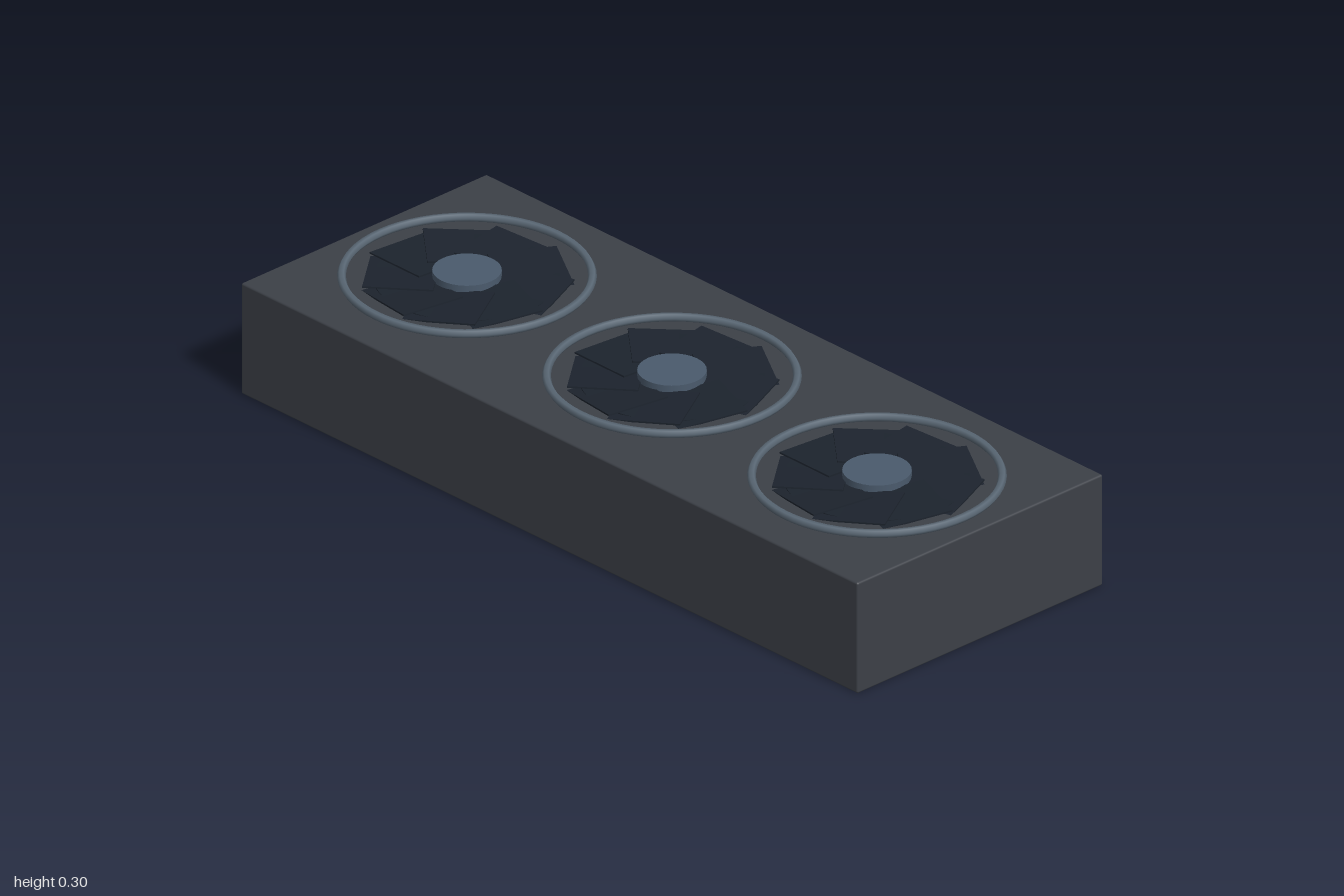
import * as THREE from 'three';
import { RoundedBoxGeometry } from 'three/addons/geometries/RoundedBoxGeometry.js';

const TOP = 0.28;
const BLADES = 9;

const paint = (color) => new THREE.MeshStandardMaterial({ color });

function addMesh(parent, name, geometry, material, x = 0, y = 0, z = 0) {
  const mesh = new THREE.Mesh(geometry, material);
  mesh.name = name;
  mesh.position.set(x, y, z);
  parent.add(mesh);
  return mesh;
}

export function createModel() {
  const model = new THREE.Group();
  model.name = 'tripleFanUnit';

  const bodyPaint = paint(0x3c4047);
  const ringPaint = paint(0x5a6875);
  const bladePaint = paint(0x1c232d);
  const hubPaint = paint(0x4a5a6c);

  // Housing with a fine edge bevel
  addMesh(model, 'housing', new RoundedBoxGeometry(2, TOP, 0.76, 2, 0.005), bodyPaint, 0, TOP / 2, 0);

  // Shared fan geometries
  const ringGeo = new THREE.TorusGeometry(0.281, 0.01, 6, 64).rotateX(Math.PI / 2);
  const discGeo = new THREE.CylinderGeometry(0.21, 0.21, 0.006, 48);
  const hubGeo = new THREE.CylinderGeometry(0.078, 0.078, 0.023, 32);
  // Each blade tilts about its length, so one edge dips into the housing
  const bladeGeo = new THREE.BoxGeometry(0.17, 0.004, 0.16)
    .rotateZ(0.07)
    .translate(0, TOP + 0.004, 0.147);

  for (const x of [-0.665, 0, 0.665]) {
    const fan = new THREE.Group();
    fan.name = 'fan';
    fan.position.x = x;
    addMesh(fan, 'fanRing', ringGeo, ringPaint, 0, TOP + 0.0085, 0);
    addMesh(fan, 'fanDisc', discGeo, bladePaint, 0, TOP + 0.001, 0);
    addMesh(fan, 'fanHub', hubGeo, hubPaint, 0, TOP + 0.0115, 0);
    for (let i = 0; i < BLADES; i++) {
      const blade = addMesh(fan, 'fanBlade', bladeGeo, bladePaint);
      blade.rotation.y = Math.PI / 2 + 20 * Math.PI / 180 + (i * 2 * Math.PI) / BLADES;
    }
    model.add(fan);
  }
  return model;
}
